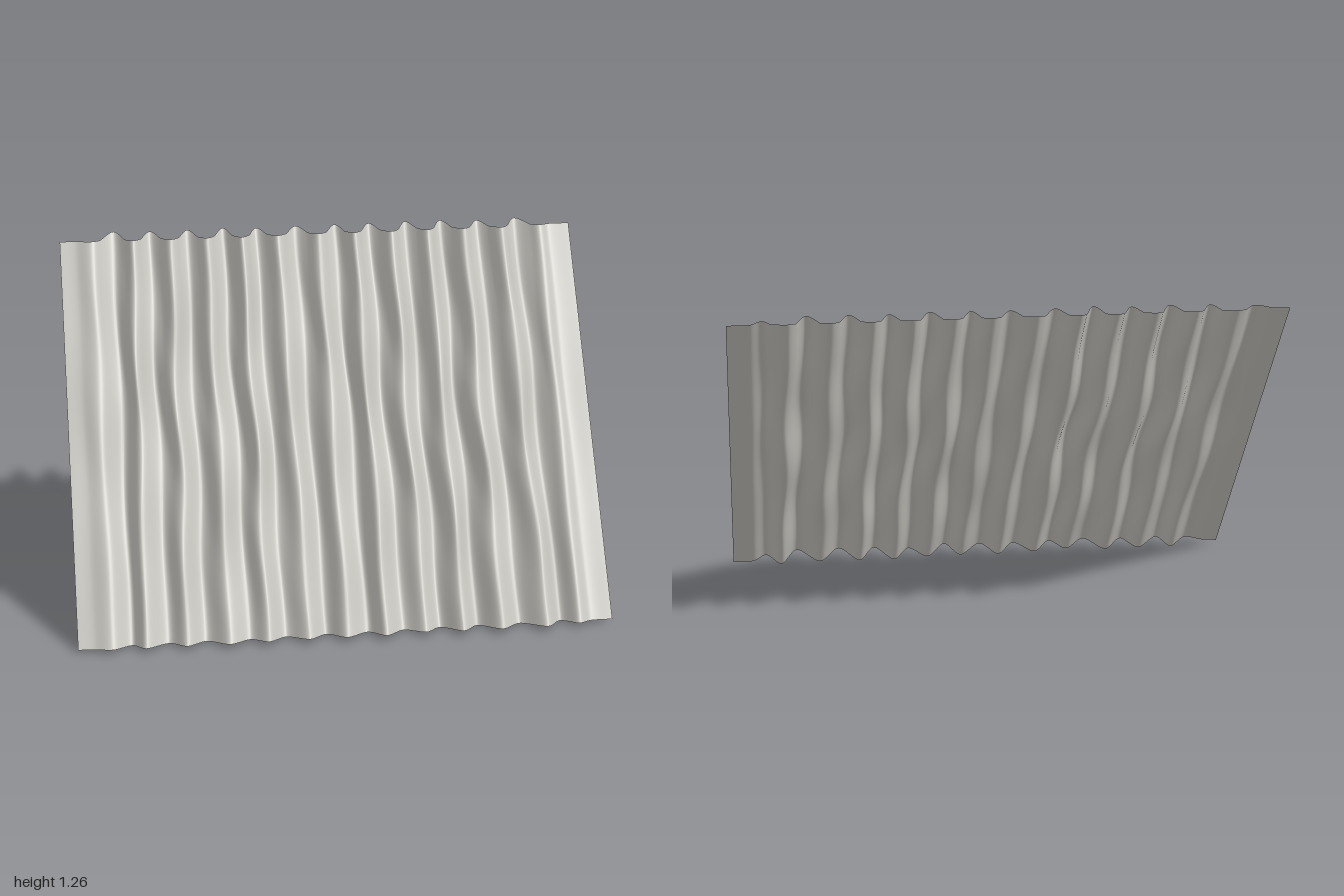
import * as THREE from 'three';

// Edge profiles as x, depth pairs; positive depth bulges to the front
const topEdge = [
  -1, 0, -0.94, 0.007, -0.87, 0.03, -0.79, -0.063, -0.72, 0.048, -0.65, -0.055, -0.575, 0.055,
  -0.505, -0.055, -0.435, 0.05, -0.365, -0.06, -0.3, 0.064, -0.235, -0.052, -0.16, 0.055,
  -0.08, -0.055, 0, 0.05, 0.075, -0.055, 0.14, 0.055, 0.21, -0.055, 0.285, 0.06, 0.355, -0.058,
  0.43, 0.05, 0.495, -0.057, 0.57, 0.055, 0.64, -0.047, 0.72, 0.058, 0.79, -0.055,
  0.87, 0.025, 0.92, 0, 1, 0,
];
const bottomEdge = [
  -1, 0, -0.94, 0.008, -0.87, 0.03, -0.8, -0.026, -0.75, 0.04, -0.665, -0.025, -0.6, 0.04,
  -0.525, -0.025, -0.445, 0.05, -0.365, -0.01, -0.3, 0.045, -0.23, -0.02, -0.15, 0.043,
  -0.08, -0.025, -0.01, 0.048, 0.075, -0.02, 0.135, 0.056, 0.21, -0.02, 0.285, 0.038, 0.35, -0.03,
  0.425, 0.053, 0.49, -0.025, 0.57, 0.058, 0.65, -0.02, 0.74, 0.06, 0.805, -0.025,
  0.865, 0.035, 0.92, 0, 1, 0,
];

const SEGMENTS = 340, ROWS = 60;

// Smooth curve through one edge, sampled at matching knots
function edgeCurve(pairs) {
  const points = [];
  for (let i = 0; i < pairs.length; i += 2) points.push(new THREE.Vector3(pairs[i], pairs[i + 1], 0));
  return new THREE.CatmullRomCurve3(points, false, 'catmullrom', 0.45);
}

function corrugatedSheet() {
  const top = edgeCurve(topEdge), bottom = edgeCurve(bottomEdge);
  const geometry = new THREE.PlaneGeometry(2, 1, SEGMENTS, ROWS);
  const position = geometry.attributes.position;
  const a = new THREE.Vector3(), b = new THREE.Vector3();
  for (let row = 0; row <= ROWS; row++) {
    const t = 1 - row / ROWS; // 0 at the bottom edge, 1 at the top
    for (let col = 0; col <= SEGMENTS; col++) {
      const u = col / SEGMENTS;
      top.getPoint(u, a);
      bottom.getPoint(u, b);
      const p = b.lerp(a, t);
      // Dents and wavering ridges, fading out at the edges
      const fade = Math.sin(Math.PI * t) * Math.min(1, 8 * Math.min(u, 1 - u));
      const x = p.x + fade * 0.008 * Math.sin(13 * t + 9 * p.x + 2 * Math.sin(7 * p.x));
      const d = p.y * (1 + fade * 0.2 * Math.sin(17 * t + 23 * p.x))
        + fade * 0.009 * Math.sin(11 * t - 8 * p.x);
      const low = 0.009 + 0.3 * d, high = 1.25 + 0.2 * Math.abs(d);
      position.setXYZ(row * (SEGMENTS + 1) + col,
        x, THREE.MathUtils.lerp(low, high, t), 0.5 - t + d);
    }
  }
  geometry.computeVertexNormals();
  return geometry;
}

export function createModel() {
  const group = new THREE.Group();
  group.name = 'leaningCorrugatedSheet';
  const metal = new THREE.MeshStandardMaterial({ color: 0xc8c6c0, side: THREE.DoubleSide });
  metal.name = 'pale grey metal';

  const sheet = new THREE.Mesh(corrugatedSheet(), metal);
  sheet.name = 'corrugatedSheet';
  group.add(sheet);
  return group;
}
